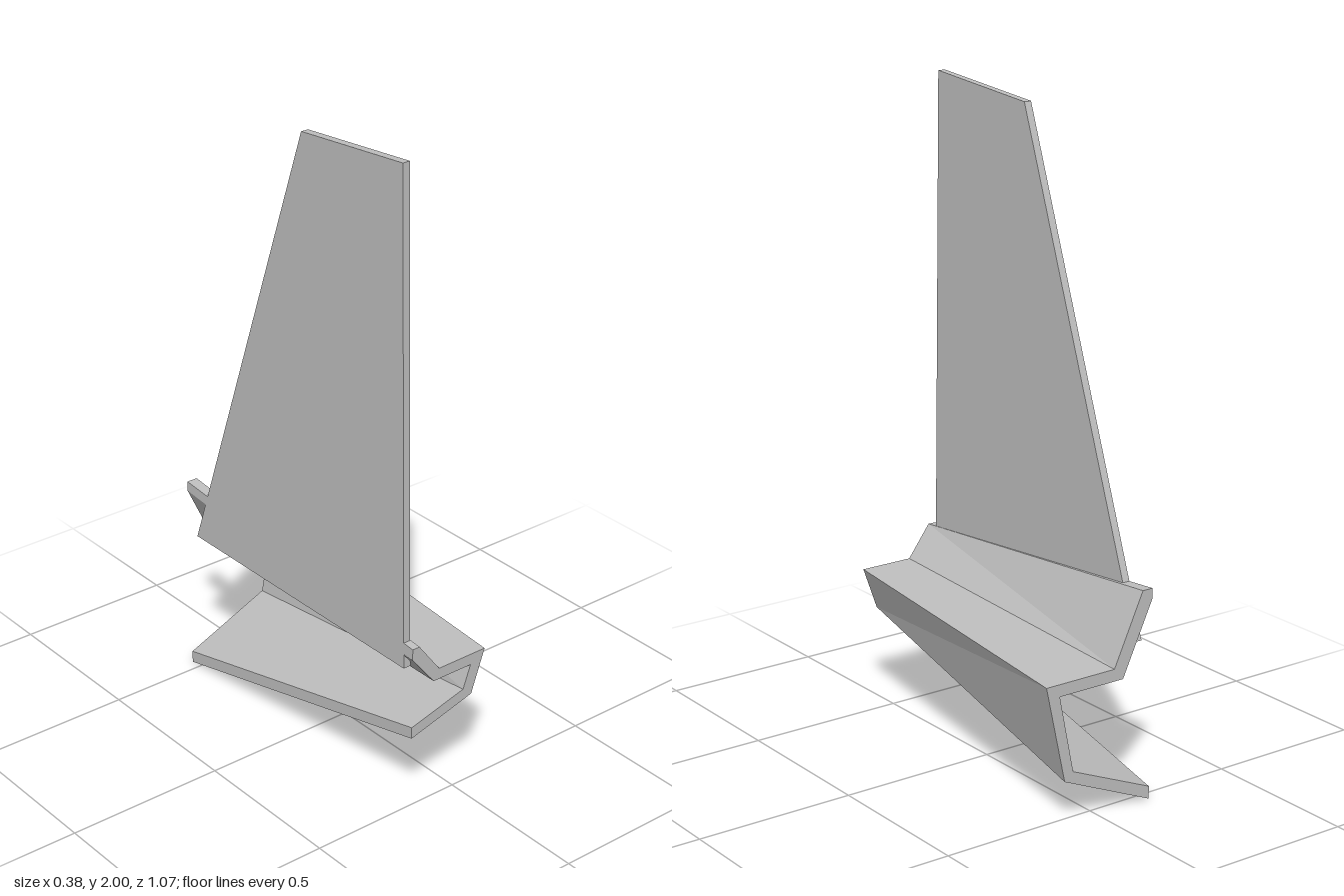
import * as THREE from 'three';

const HALF_LENGTH = 0.535;

// Closed cross-sections (x, y), counter-clockwise seen from the front
const FRONT = [
  [-0.19, 0.263], [0.035, 0.325], [0.083, 0.46], [-0.09, 0.46], [-0.165, 0.56], [-0.19, 0.56],
  [-0.19, 0.525], [-0.11, 0.425], [0.03, 0.425], [0.003, 0.352], [-0.19, 0.3],
];
const BACK = [
  [-0.19, 0.003], [0.12, 0.137], [0.187, 0.437], [-0.055, 0.437], [-0.155, 0.652], [-0.19, 0.652],
  [-0.19, 0.62], [-0.087, 0.4], [0.14, 0.4], [0.09, 0.161], [-0.19, 0.042],
];
// Twisted strips folded along the opposite diagonal
const FLIPPED = new Set([3, 8, 9]);

// Loft between the two sections, closed by end caps
function loft(front, back, halfLength) {
  const positions = [];
  const n = front.length;
  const f = (i) => [...front[i % n], halfLength];
  const b = (i) => [...back[i % n], -halfLength];
  const tri = (...corners) => corners.forEach((c) => positions.push(...c));

  for (let i = 0; i < n; i++) {
    const j = i + 1;
    if (FLIPPED.has(i)) {
      tri(f(i), b(i), f(j));
      tri(b(i), b(j), f(j));
    } else {
      tri(f(i), b(i), b(j));
      tri(f(i), b(j), f(j));
    }
  }
  const cap = (section) =>
    THREE.ShapeUtils.triangulateShape(section.map(([x, y]) => new THREE.Vector2(x, y)), []);
  cap(front).forEach(([p, q, r]) => tri(f(p), f(q), f(r)));
  cap(back).forEach(([p, q, r]) => tri(b(p), b(r), b(q)));

  const geometry = new THREE.BufferGeometry();
  geometry.setAttribute('position', new THREE.Float32BufferAttribute(positions, 3));
  geometry.computeVertexNormals();
  return geometry;
}

export function createModel() {
  const group = new THREE.Group();
  group.name = 'finAssembly';
  const grey = new THREE.MeshStandardMaterial({ color: 0xc0c0c0, flatShading: true });
  grey.name = 'plain grey';

  // Folded, tapering channel at the base
  const channel = new THREE.Mesh(loft(FRONT, BACK, HALF_LENGTH), grey);
  channel.name = 'foldedChannel';
  group.add(channel);

  // Upright swept plate, outlined as (z, y)
  const outline = [[0.497, 0.48], [0.47, 2], [0.045, 1.963], [-0.49, 0.48]];
  const shape = new THREE.Shape(outline.map(([z, y]) => new THREE.Vector2(-z, y)));
  const finGeometry = new THREE.ExtrudeGeometry(shape, { depth: 0.024, bevelEnabled: false });
  finGeometry.rotateY(Math.PI / 2);
  finGeometry.translate(-0.19, 0, 0);
  const fin = new THREE.Mesh(finGeometry, grey);
  fin.name = 'uprightFin';
  group.add(fin);

  return group;
}
